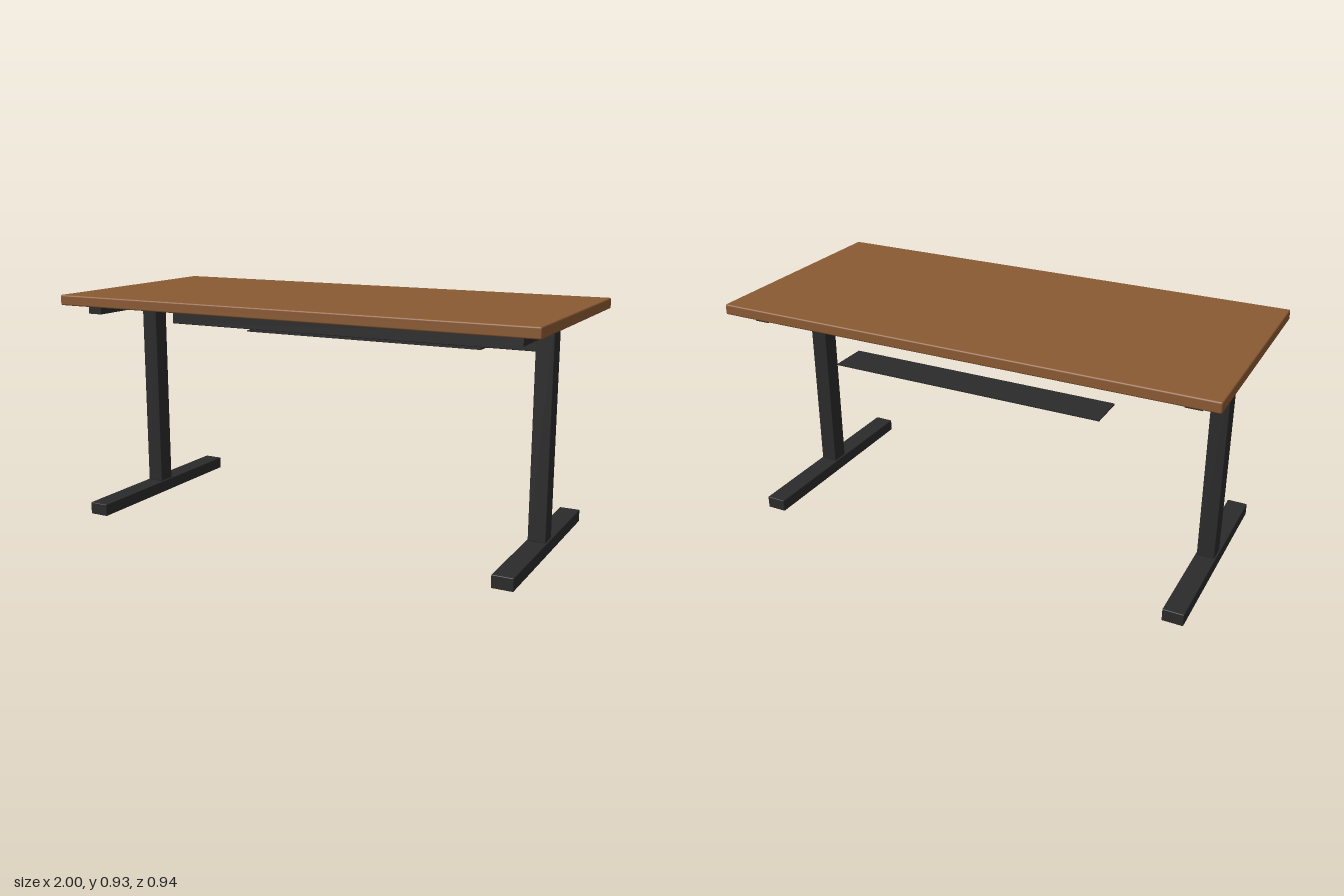
import * as THREE from 'three';
import { RoundedBoxGeometry } from 'three/addons/geometries/RoundedBoxGeometry.js';

const wood = new THREE.MeshStandardMaterial({ color: 0x8b5a33 });
wood.name = 'brown wood';
const metal = new THREE.MeshStandardMaterial({ color: 0x2b2b2b });
metal.name = 'black metal';

// Box given by its size and the height of its underside
function addBox(parent, name, material, [w, h, d], [x, bottom, z], radius = 0.003) {
  const geometry = radius
    ? new RoundedBoxGeometry(w, h, d, 2, radius)
    : new THREE.BoxGeometry(w, h, d);
  const mesh = new THREE.Mesh(geometry, material);
  mesh.name = name;
  mesh.position.set(x, bottom + h / 2, z);
  parent.add(mesh);
}

export function createModel() {
  const desk = new THREE.Group();
  desk.name = 'desk';

  // Desktop slab with softened edges
  addBox(desk, 'desktop', wood, [2, 0.042, 0.935], [0, 0.885, 0], 0.006);

  // T-shaped leg on each side: foot, column and support under the desktop
  for (const [side, sign] of [['left', 1], ['right', -1]]) {
    const leg = new THREE.Group();
    leg.name = side + 'Leg';
    leg.position.x = sign * 0.887;
    addBox(leg, 'foot', metal, [0.082, 0.05, 0.86], [0, 0, 0]);
    addBox(leg, 'column', metal, [0.07, 0.835, 0.074], [0, 0.05, 0]);
    addBox(leg, 'topSupport', metal, [0.062, 0.038, 0.786], [0, 0.847, 0], 0);
    desk.add(leg);
  }

  // Cross beam behind the columns
  addBox(desk, 'crossBeam', metal, [1.764, 0.074, 0.048], [0, 0.746, -0.149]);

  // Thin cable tray under the rear of the desktop
  addBox(desk, 'cableTray', metal, [1.1, 0.005, 0.15], [0, 0.7185, -0.3], 0);

  return desk;
}
